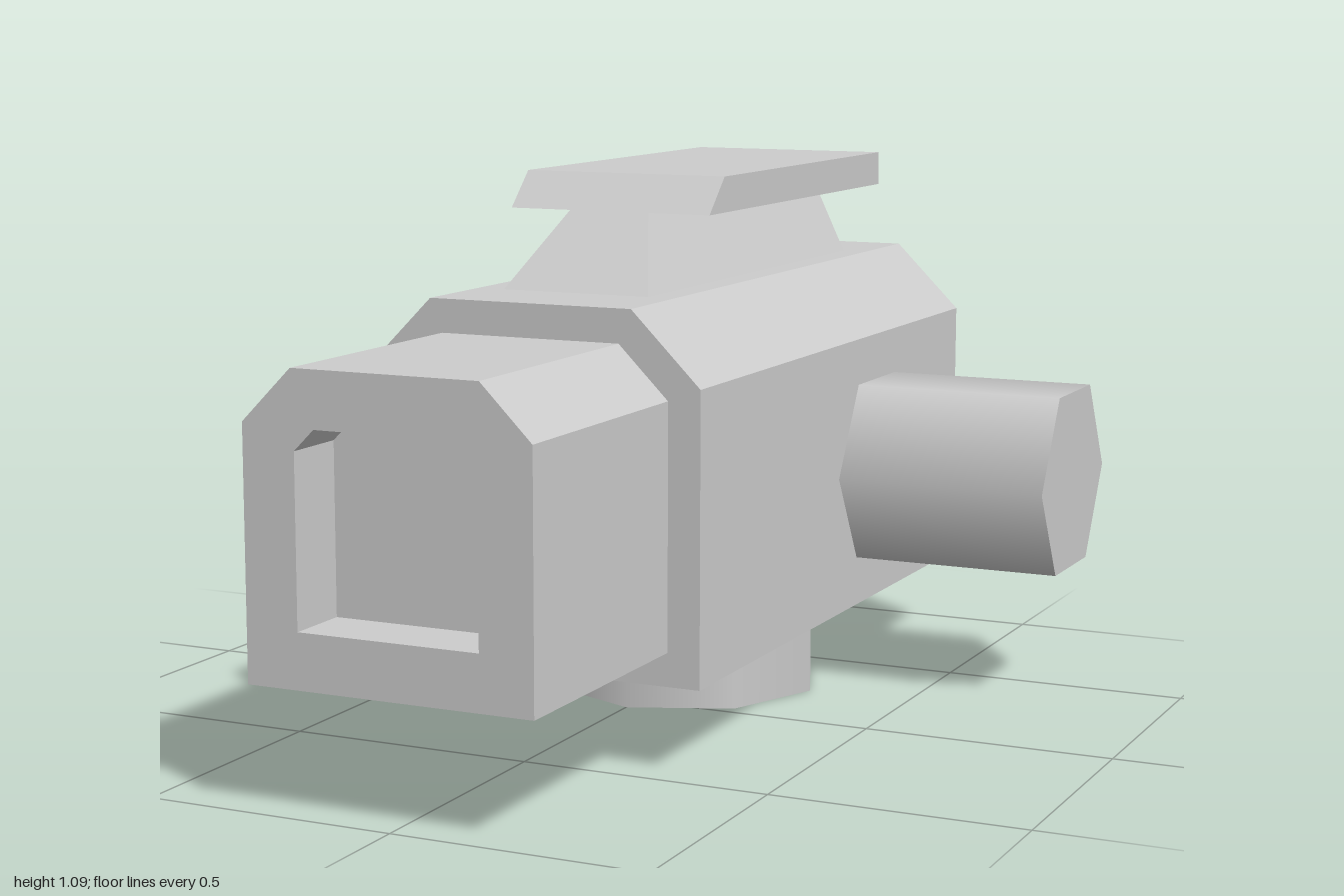
import * as THREE from 'three';

const flat = new THREE.MeshStandardMaterial({ color: 0xcccccc, flatShading: true });
const smooth = new THREE.MeshStandardMaterial({ color: 0xcccccc, side: THREE.DoubleSide });

// Box outline with its two upper corners cut, counter-clockwise seen from the front
function housing(w, y0, y1, topW, shoulderY) {
  return [[-w, y0], [w, y0], [w, shoulderY], [topW, y1], [-topW, y1], [-w, shoulderY]];
}

function trapezoid(wBottom, wTop, y0, y1) {
  return [[-wBottom, y0], [wBottom, y0], [wTop, y1], [-wTop, y1]];
}

// Skins a list of [outline, z] sections and caps both ends; z may depend on y
function loft(name, sections) {
  const rings = sections.map(([pts, z]) =>
    pts.map(([x, y]) => [x, y, typeof z === 'function' ? z(y) : z]));
  const n = rings[0].length;
  const pos = [];
  const tri = (a, b, c) => pos.push(...a, ...b, ...c);
  for (let s = 0; s < rings.length - 1; s++) {
    const a = rings[s], b = rings[s + 1];
    for (let i = 0; i < n; i++) {
      const j = (i + 1) % n;
      tri(a[i], a[j], b[j]);
      tri(a[i], b[j], b[i]);
    }
  }
  const first = rings[0], last = rings[rings.length - 1];
  for (let i = 1; i < n - 1; i++) {
    tri(first[0], first[i + 1], first[i]);
    tri(last[0], last[i], last[i + 1]);
  }
  const geo = new THREE.BufferGeometry();
  geo.setAttribute('position', new THREE.Float32BufferAttribute(pos, 3));
  geo.computeVertexNormals();
  const mesh = new THREE.Mesh(geo, flat);
  mesh.name = name;
  return mesh;
}

export function createModel() {
  const group = new THREE.Group();
  group.name = 'sight';

  const bodyShape = housing(0.35, 0.17, 0.87, 0.21, 0.73);
  const backShape = housing(0.28, 0.275, 0.83, 0.17, 0.72);
  const barrelShape = housing(0.285, 0.235, 0.805, 0.185, 0.705);
  const windowShape = housing(0.18, 0.34, 0.70, 0.14, 0.66);

  // Main housing with bevelled back and shallow rear window
  group.add(loft('body', [
    [windowShape, -0.975], [windowShape, -1], [backShape, -1],
    [bodyShape, -0.93], [bodyShape, 0.47],
  ]));

  // Front housing with a deeper window
  group.add(loft('frontHousing', [
    [barrelShape, 0.47], [barrelShape, 1], [windowShape, 1], [windowShape, 0.87],
  ]));

  // Top rail: tapered stem and flat plate share one sloping front
  const slope = y => 0.28 - (y - 0.87) * 1.02;
  const stem = trapezoid(0.155, 0.085, 0.868, 1.015);
  const plate = trapezoid(0.215, 0.215, 1.015, 1.085);
  group.add(loft('railStem', [[stem, -0.73], [stem, slope]]));
  group.add(loft('railPlate', [[plate, -0.78], [plate, slope]]));

  // Side knobs
  for (const side of [1, -1]) {
    const knob = new THREE.Mesh(new THREE.CylinderGeometry(0.21, 0.21, 0.46, 6), smooth);
    knob.name = side > 0 ? 'leftKnob' : 'rightKnob';
    knob.rotation.z = -side * Math.PI / 2;
    knob.position.set(side * 0.55, 0.453, -0.43);
    group.add(knob);
  }

  // Open collar underneath
  const collar = new THREE.Mesh(new THREE.CylinderGeometry(0.287, 0.287, 0.17, 8, 1, true), smooth);
  collar.name = 'bottomCollar';
  collar.position.set(0, 0.085, -0.23);
  group.add(collar);

  return group;
}
